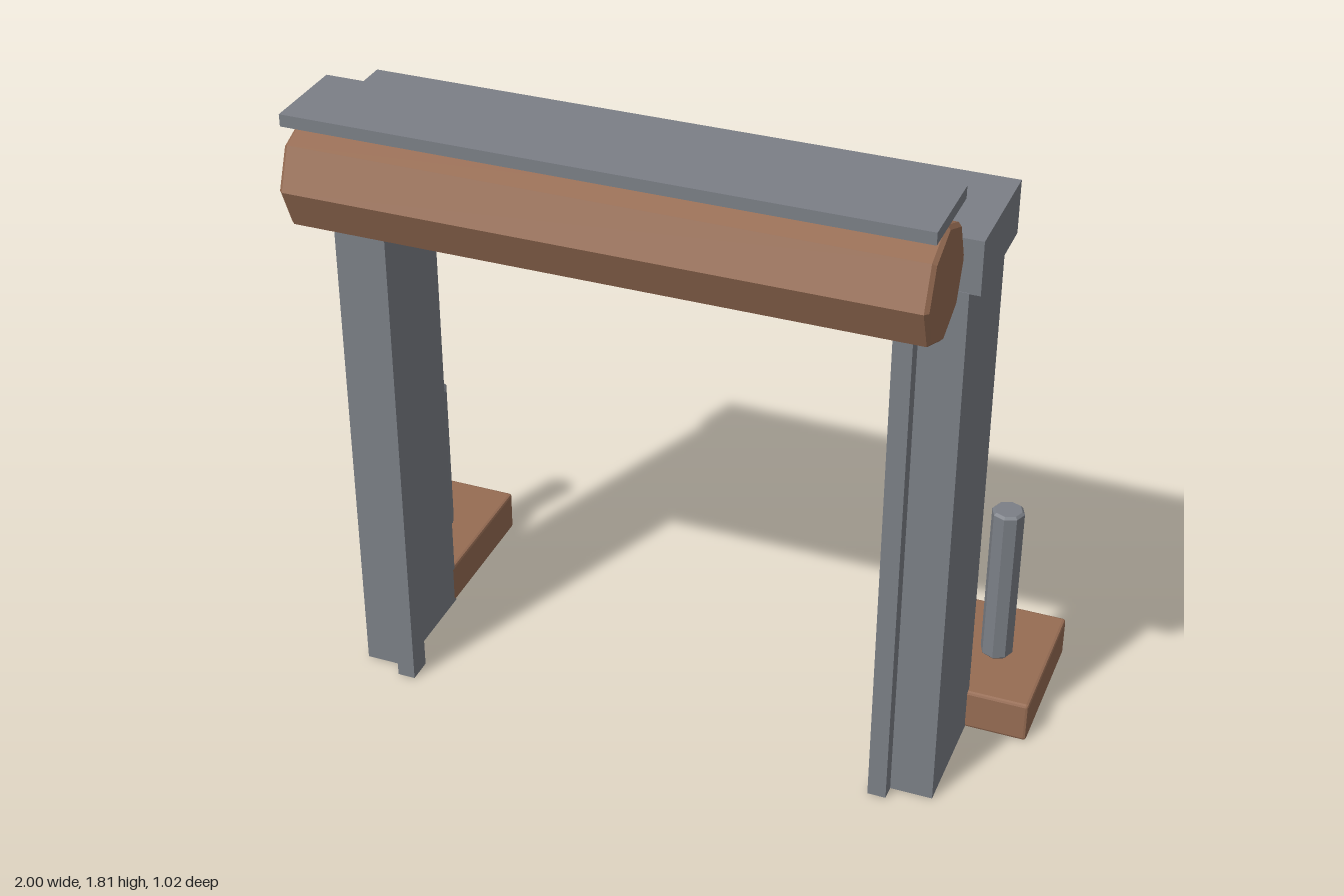
import * as THREE from 'three';
import { RoundedBoxGeometry } from 'three/addons/geometries/RoundedBoxGeometry.js';

const stone = new THREE.MeshStandardMaterial({ name: 'greyMetal', color: 0x7b7f86 });
const wood = new THREE.MeshStandardMaterial({ name: 'brownWood', color: 0x966c53 });

// Facet a geometry so every face has its own normal
function faceted(geometry) {
  const flat = geometry.index ? geometry.toNonIndexed() : geometry;
  flat.computeVertexNormals();
  return flat;
}

// Upright octagonal prism with chamfered ends, centred on the origin
function octagonPrism(radius, length, bevel) {
  const h = length / 2;
  const profile = [
    [0, -h], [radius - bevel, -h], [radius, bevel - h],
    [radius, h - bevel], [radius - bevel, h], [0, h],
  ].map(([x, y]) => new THREE.Vector2(x, y));
  return faceted(new THREE.LatheGeometry(profile, 8));
}

export function createModel() {
  const model = new THREE.Group();
  model.name = 'gateFrame';

  function add(name, geometry, material, x, y, z) {
    const mesh = new THREE.Mesh(geometry, material);
    mesh.name = name;
    mesh.position.set(x, y, z);
    model.add(mesh);
    return mesh;
  }

  // Box given by its minimum and maximum on each axis
  function box(name, material, [x0, x1], [y0, y1], [z0, z1], bevel = 0) {
    const size = [x1 - x0, y1 - y0, z1 - z0];
    const geometry = bevel
      ? faceted(new RoundedBoxGeometry(...size, 1, bevel))
      : new THREE.BoxGeometry(...size);
    return add(name, geometry, material, (x0 + x1) / 2, (y0 + y1) / 2, (z0 + z1) / 2);
  }

  for (const [side, s] of [['left', 1], ['right', -1]]) {
    const span = (a, b) => (s > 0 ? [a, b] : [-b, -a]);
    // Jamb with a narrow stop strip on its inner front corner
    box(side + 'Jamb', stone, span(0.715, 0.83), [0, 1.53], [-0.105, 0.228]);
    box(side + 'StopStrip', stone, span(0.665, 0.715), [0, 1.525], [0.2, 0.27]);
    // Wooden foot block carrying a short post
    box(side + 'FootBlock', wood, span(0.715, 1), [0, 0.12], [-0.51, -0.088], 0.008);
    add(side + 'Post', octagonPrism(0.045, 0.475, 0.007), stone, s * 0.855, 0.3575, -0.295);
  }

  // Lintel across the jambs
  box('lintel', stone, [-0.857, 0.857], [1.527, 1.67], [-0.105, 0.226]);

  // Log in front of the lintel, with a thin plate above it
  const log = add('log', octagonPrism(0.15, 1.62, 0.01), wood, 0, 1.62, 0.363);
  log.rotation.z = Math.PI / 2;
  box('topPlate', stone, [-0.81, 0.81], [1.778, 1.81], [0.238, 0.477]);

  return model;
}
